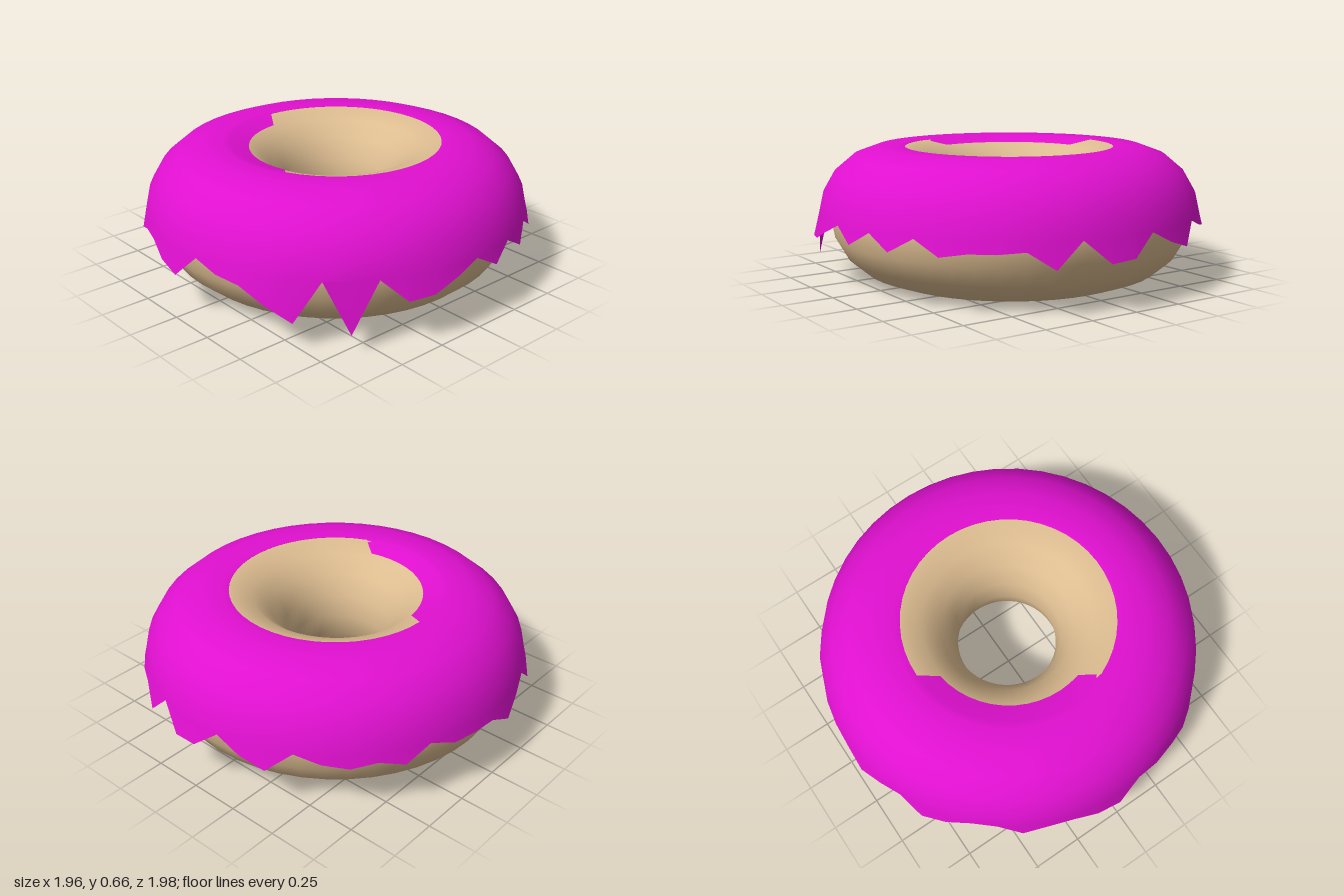
import * as THREE from 'three';

const SEGMENTS = 48;

// Height of the icing's ragged hem at each spoke, starting at the front and going towards +x
const HEM = [
  0.22, 0.34, 0.30, 0.28, 0.21, 0.14, 0.34, 0.09, 0.34, 0.23, 0.24, 0.29,
  0.34, 0.27, 0.34, 0.27, 0.34, 0.27, 0.29, 0.29, 0.30, 0.22, 0.34, 0.23,
  0.24, 0.34, 0.28, 0.24, 0.34, 0.30, 0.28, 0.30, 0.27, 0.34, 0.30, 0.30,
  0.30, 0.24, 0.30, 0.34, 0.24, 0.28, 0.34, 0.34, 0.26, 0.30, 0.30, 0.25,
];

// Cross-section of the icing at one spoke, as [radius, height] from the hole to the hem
function icingSection(k) {
  const flap = k >= 37 || k <= 2; // icing runs further into the hole here
  const points = [flap ? [0.44, 0.63] : [0.53, 0.657], [0.53, 0.659]];
  for (const degrees of [98, 80, 60, 40, 20]) {
    const a = THREE.MathUtils.degToRad(degrees);
    points.push([0.615 + 0.35 * Math.cos(a), 0.316 + 0.35 * Math.sin(a)]);
  }
  points.push([0.965, 0.34]);
  const drop = 0.34 - HEM[k];
  points.push([0.965 + Math.min(drop * 0.25, 0.027), HEM[k]]);
  return points;
}

function icingGeometry() {
  const positions = [], indices = [];
  let rows = 0;
  for (let k = 0; k < SEGMENTS; k++) {
    const section = icingSection(k);
    const phi = (k / SEGMENTS) * Math.PI * 2;
    rows = section.length;
    for (const [r, y] of section) positions.push(r * Math.sin(phi), y, r * Math.cos(phi));
  }
  for (let k = 0; k < SEGMENTS; k++) {
    for (let j = 0; j < rows - 1; j++) {
      const a = k * rows + j, b = ((k + 1) % SEGMENTS) * rows + j;
      indices.push(a, a + 1, b, b, a + 1, b + 1);
    }
  }
  const geometry = new THREE.BufferGeometry();
  geometry.setAttribute('position', new THREE.Float32BufferAttribute(positions, 3));
  geometry.setIndex(indices);
  geometry.computeVertexNormals();
  return geometry;
}

export function createModel() {
  const group = new THREE.Group();
  group.name = 'donut';

  // Ring of dough
  const doughShape = new THREE.TorusGeometry(0.585, 0.333, 18, SEGMENTS);
  doughShape.rotateX(-Math.PI / 2);
  const dough = new THREE.Mesh(doughShape, new THREE.MeshStandardMaterial({ color: 0xdcbc90 }));
  dough.name = 'dough';
  dough.position.set(-0.01, 0.328, 0);
  group.add(dough);

  // Thin shell of icing with pointed drips
  const icing = new THREE.Mesh(
    icingGeometry(),
    new THREE.MeshStandardMaterial({ color: 0xe010d0, side: THREE.DoubleSide })
  );
  icing.name = 'icing';
  group.add(icing);

  return group;
}
